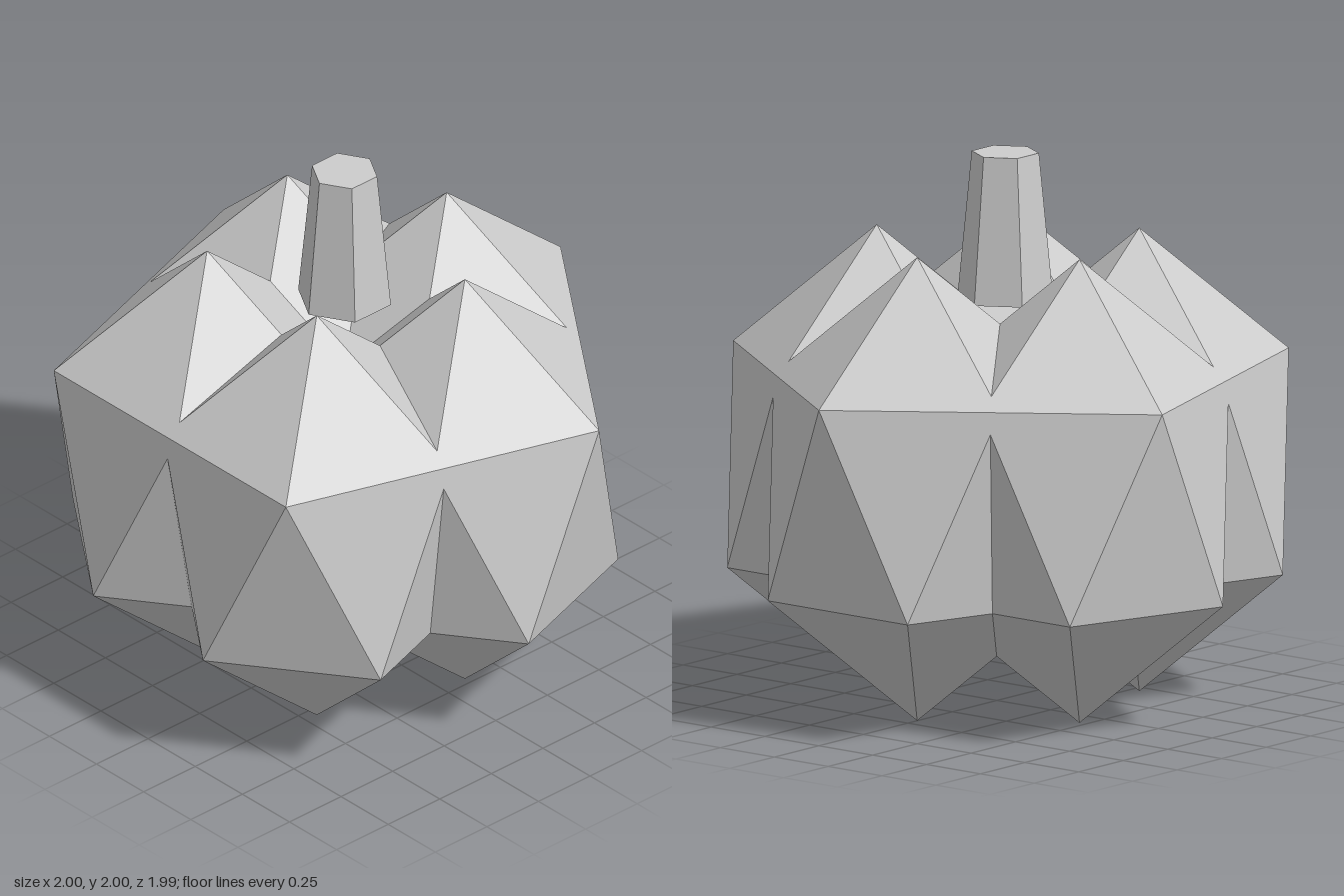
import * as THREE from 'three';

const LOBES = 5;
const CENTRE_X = -0.0475;   // the ring of lobes sits slightly off centre
const RING_RADIUS = 0.495;
const HALF_HEIGHT = 0.848;
const LOBE_WIDTH = 0.728;   // horizontal squeeze of each lobe

export function createModel() {
  const pumpkin = new THREE.Group();
  pumpkin.name = 'pumpkin';

  const grey = new THREE.MeshStandardMaterial({ color: 0xcccccc });
  grey.name = 'light grey';
  grey.flatShading = true;

  // Lobe: an icosahedron stood on one corner and squeezed sideways
  const golden = (1 + Math.sqrt(5)) / 2;
  const lobeGeometry = new THREE.IcosahedronGeometry(HALF_HEIGHT, 0);
  lobeGeometry.rotateZ(-Math.atan(1 / golden));
  lobeGeometry.scale(LOBE_WIDTH, 1, LOBE_WIDTH);

  // Five overlapping lobes, all facing the same way
  for (let i = 0; i < LOBES; i++) {
    const angle = (i / LOBES) * Math.PI * 2;
    const lobe = new THREE.Mesh(lobeGeometry, grey);
    lobe.name = `lobe${i + 1}`;
    lobe.position.set(
      CENTRE_X + RING_RADIUS * Math.cos(angle),
      HALF_HEIGHT,
      RING_RADIUS * Math.sin(angle)
    );
    pumpkin.add(lobe);
  }

  // Six-sided tapered stem, with corners on the x axis
  const stemBottom = 1.465;
  const stemHeight = 2 - stemBottom;
  const stemGeometry = new THREE.CylinderGeometry(0.122, 0.174, stemHeight, 6);
  stemGeometry.rotateY(Math.PI / 6);
  const stem = new THREE.Mesh(stemGeometry, grey);
  stem.name = 'stem';
  stem.position.set(CENTRE_X, stemBottom + stemHeight / 2, 0);
  pumpkin.add(stem);

  return pumpkin;
}
